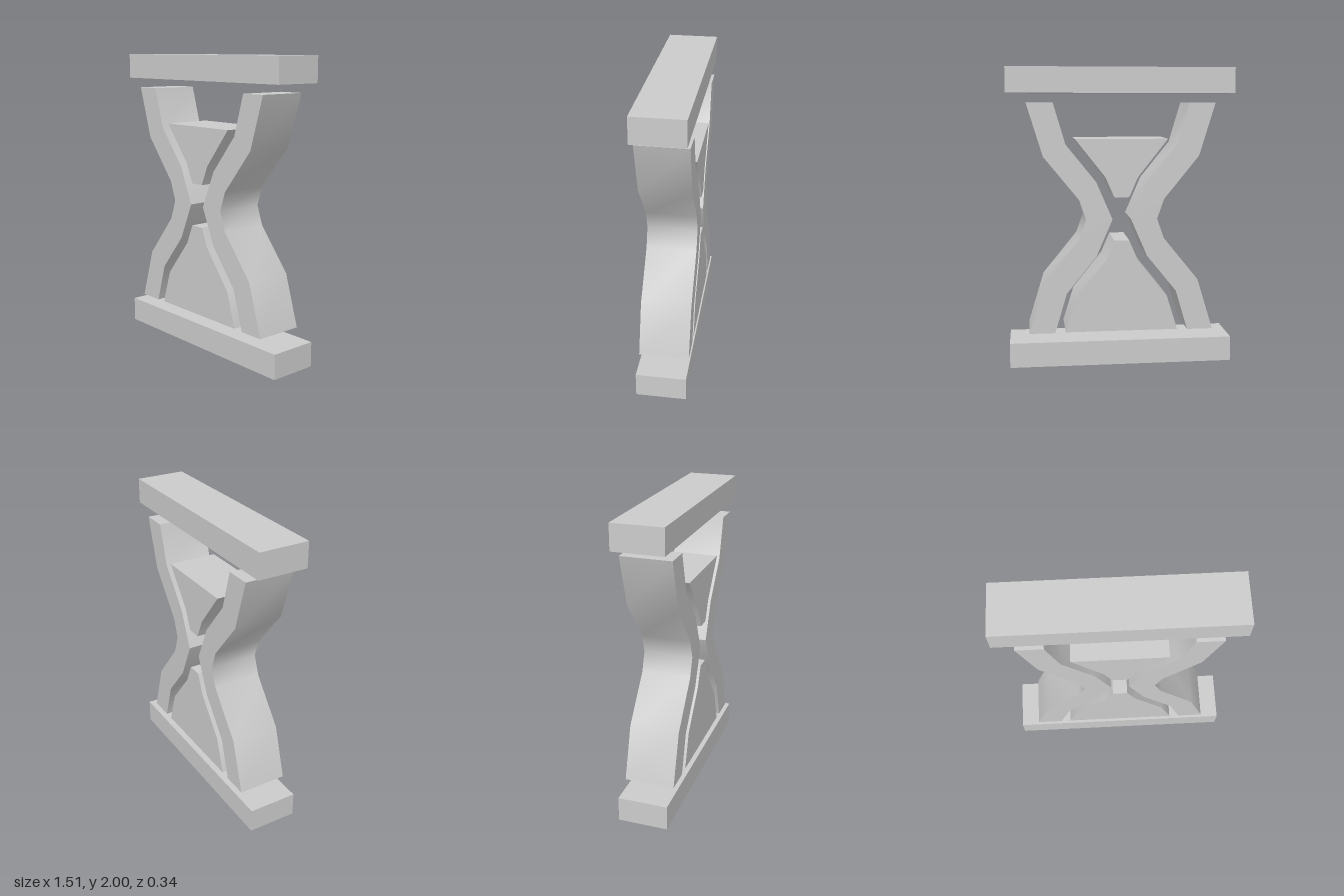
import * as THREE from 'three';
import { toCreasedNormals } from 'three/addons/utils/BufferGeometryUtils.js';

const DEPTH = 0.335;
const material = new THREE.MeshStandardMaterial({ color: 0xcccccc });

// Extrude a flat outline, centred on z = 0
function slab(name, points) {
  const shape = new THREE.Shape(points.map(([x, y]) => new THREE.Vector2(x, y)));
  const geometry = new THREE.ExtrudeGeometry(shape, { depth: DEPTH, bevelEnabled: false });
  geometry.translate(0, 0, -DEPTH / 2);
  const mesh = new THREE.Mesh(toCreasedNormals(geometry, 0.75), material);
  mesh.name = name;
  return mesh;
}

const mirrorX = (points) => points.map(([x, y]) => [-x, y]).reverse();
const mirrorY = (points) => points.map(([x, y]) => [x, 2 - y]).reverse();

export function createModel() {
  const model = new THREE.Group();
  model.name = 'hourglass';

  // End bars
  for (const [name, y] of [['bottomBar', 0.084], ['topBar', 1.916]]) {
    const bar = new THREE.Mesh(new THREE.BoxGeometry(1.51, 0.168, DEPTH), material);
    bar.name = name;
    bar.position.y = y;
    model.add(bar);
  }

  // Glass walls: outer and inner edges of the upper half, mirrored about the waist
  const outer = [[0.238, 1], [0.284, 1.132], [0.518, 1.42], [0.624, 1.768]];
  const inner = [[0.45, 1.768], [0.37, 1.498], [0.17, 1.25], [0.062, 1]];
  const wall = [
    ...mirrorY(outer.slice(1)), ...outer,
    ...inner, ...mirrorY(inner.slice(0, 3)),
  ];
  model.add(slab('leftGlass', wall), slab('rightGlass', mirrorX(wall)));

  // Sand: right-hand edges, mirrored across x
  const upperSand = [[0.05, 1.147], [0.108, 1.28], [0.308, 1.533]];
  const lowerSand = [[0.381, 0.235], [0.308, 0.471], [0.108, 0.722], [0.05, 0.857]];
  model.add(slab('upperSand', [...upperSand, ...mirrorX(upperSand)]));
  model.add(slab('lowerSand', [...lowerSand, ...mirrorX(lowerSand)]));

  return model;
}
